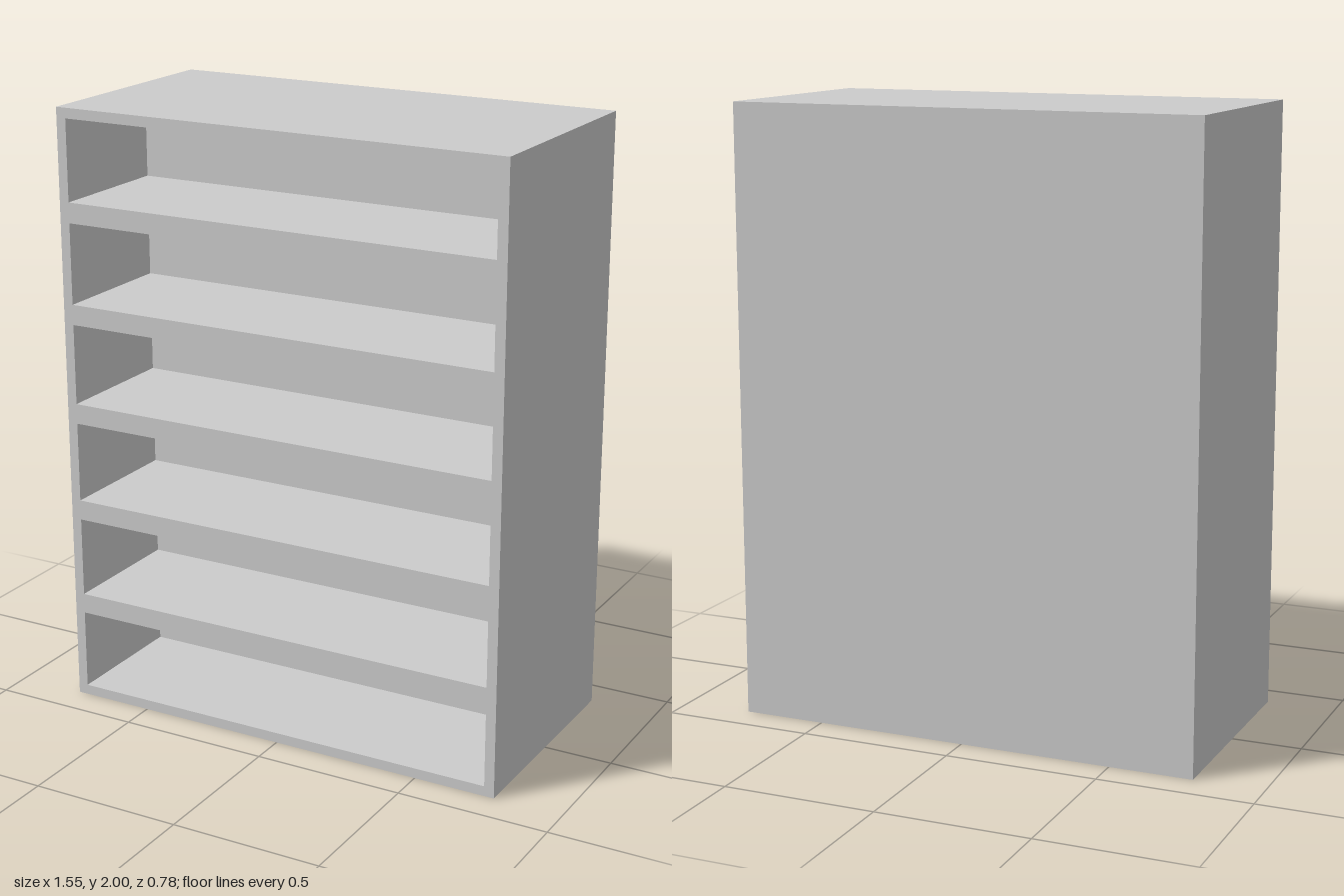
import * as THREE from 'three';

const W = 1.546, H = 2, D = 0.778;      // overall size
const WALL = 0.0335, ROWS = 6;          // board thickness, compartments
const RECESS = 0.447;                   // depth of each compartment

// Closed rectangle, usable as outline or hole
function rect(PathType, x0, y0, x1, y1) {
  const p = new PathType();
  p.moveTo(x0, y0);
  p.lineTo(x1, y0);
  p.lineTo(x1, y1);
  p.lineTo(x0, y1);
  p.closePath();
  return p;
}

export function createModel() {
  const group = new THREE.Group();
  group.name = 'shelfCabinet';
  const material = new THREE.MeshStandardMaterial({ color: 0xcccccc });

  // Outer frame and shelves: one board pierced by the compartments
  const outline = rect(THREE.Shape, -W / 2, 0, W / 2, H);
  const pitch = H / ROWS;
  for (let i = 0; i < ROWS; i++) {
    outline.holes.push(rect(THREE.Path,
      -W / 2 + WALL, i * pitch + WALL, W / 2 - WALL, (i + 1) * pitch - WALL));
  }
  const frame = new THREE.Mesh(
    new THREE.ExtrudeGeometry(outline, { depth: RECESS, bevelEnabled: false }), material);
  frame.name = 'shelfFrame';
  frame.position.z = D / 2 - RECESS;
  group.add(frame);

  // Solid body behind the compartments
  const backDepth = D - RECESS;
  const back = new THREE.Mesh(new THREE.BoxGeometry(W, H, backDepth), material);
  back.name = 'backBody';
  back.position.set(0, H / 2, -D / 2 + backDepth / 2);
  group.add(back);

  return group;
}
